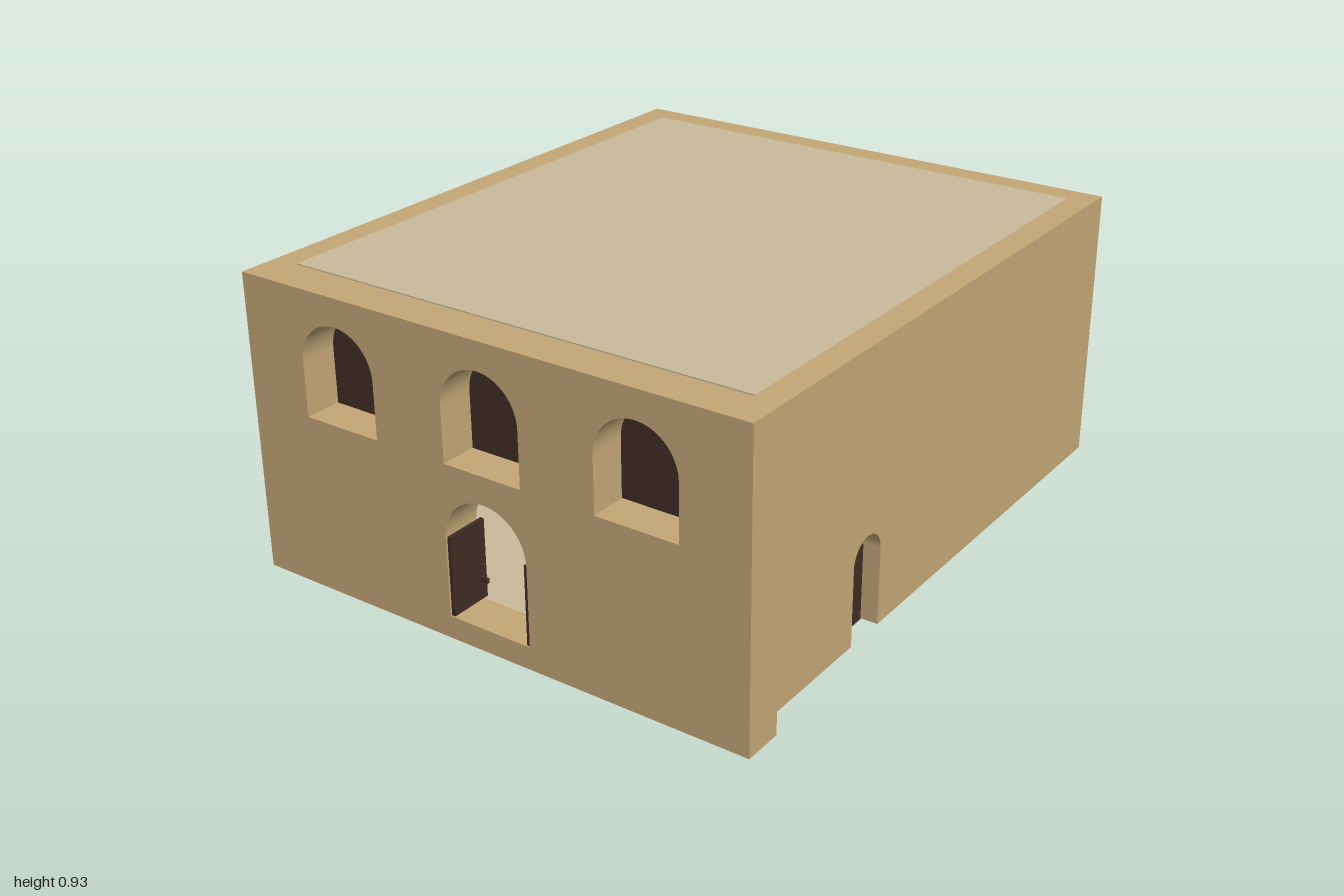
import * as THREE from 'three';

const mat = (name, color, side = THREE.FrontSide) => {
  const m = new THREE.MeshStandardMaterial({ color, side });
  m.name = name;
  return m;
};

export function createModel() {
  const sand = mat('sandstone', 0xc2a676);
  const plaster = mat('pale plaster', 0xcaba9c);
  const wood = mat('dark wood', 0x402c24);
  const glass = mat('blue glass', 0xa9c1cd);

  const model = new THREE.Group();
  model.name = 'hall';
  const add = (name, geometry, material) => {
    const mesh = new THREE.Mesh(geometry, material);
    mesh.name = name;
    model.add(mesh);
    return mesh;
  };
  // Box given by its minimum and maximum corners
  const box = (name, material, [x0, y0, z0], [x1, y1, z1]) =>
    add(name, new THREE.BoxGeometry(x1 - x0, y1 - y0, z1 - z0)
      .translate((x0 + x1) / 2, (y0 + y1) / 2, (z0 + z1) / 2), material);

  // Round-headed opening or plate: centre, half width, sill and crown heights
  const arch = (c, r, y0, y1, Type = THREE.Path) => {
    const p = new Type();
    p.moveTo(c - r, y0);
    p.lineTo(c + r, y0);
    p.lineTo(c + r, y1 - r);
    p.absarc(c, y1 - r, r, 0, Math.PI, false);
    p.lineTo(c - r, y0);
    return p;
  };
  const extrude = (shape, depth) =>
    new THREE.ExtrudeGeometry(shape, { depth, bevelEnabled: false, curveSegments: 20 });

  const W = 0.84, IN = 0.76, TOP = 0.925, BASE = 0.07, FRONT = 0.875, BACK = -0.94;
  const rect = (a, y0, b, y1) => new THREE.Shape([
    new THREE.Vector2(a, y0), new THREE.Vector2(b, y0),
    new THREE.Vector2(b, y1), new THREE.Vector2(a, y1)]);

  // Front wall, with a foot reaching the ground
  const front = rect(-W, 0, W, TOP);
  front.holes.push(arch(0, 0.14, BASE, 0.455));
  for (const x of [-0.5, 0, 0.5]) {
    front.holes.push(arch(x, 0.13, 0.54, 0.84));
    add('frontShutter', extrude(arch(x, 0.13, 0.54, 0.84, THREE.Shape), 0.008)
      .translate(0, 0, FRONT + 0.002), wood);
  }
  add('frontWall', extrude(front, 1 - FRONT).translate(0, 0, FRONT), sand);

  // Back wall with barred openings and panes standing off the wall
  const back = rect(-W, BASE, W, TOP);
  for (const x of [-0.485, 0, 0.485]) {
    back.holes.push(arch(x, 0.13, 0.54, 0.875));
    const px = x * 0.98;
    box('backPane', glass, [px - 0.12, 0.54, -1], [px + 0.12, 0.875, -0.992]);
    for (let i = -3; i <= 3; i++) {
      const bx = x + i * 0.035;
      const top = 0.745 + Math.sqrt(0.13 ** 2 - (bx - x) ** 2);
      box('windowBar', wood, [bx - 0.006, 0.54, -0.872], [bx + 0.006, top, -0.862]);
    }
    box('windowRail', wood, [x - 0.13, 0.54, -0.87], [x + 0.13, 0.555, -0.862]);
  }
  add('backWall', extrude(back, 0.08).translate(0, 0, BACK), sand);

  // Side walls are drawn in z and y, then turned to run along the building
  const side = (name, shape, x) =>
    add(name, extrude(shape, W - IN).rotateY(-Math.PI / 2).translate(x, 0, 0), sand);

  // Left wall with the side doorway
  const left = new THREE.Shape();
  left.moveTo(-0.86, BASE);
  left.lineTo(0.37, BASE);
  left.lineTo(0.37, 0.305);
  left.absarc(0.44, 0.305, 0.07, Math.PI, 0, true);
  left.lineTo(0.51, BASE);
  left.lineTo(FRONT, BASE);
  left.lineTo(FRONT, TOP);
  left.lineTo(-0.86, TOP);
  side('leftWall', left, W);
  box('sideDoor', wood, [0.78, BASE, 0.375], [0.79, 0.305, 0.51]);

  // Right wall with three narrow windows
  const right = rect(-0.86, BASE, FRONT, TOP);
  for (const z of [-0.37, 0.065, 0.5]) {
    right.holes.push(arch(z, 0.073, 0.22, 0.64));
    box('sidePane', glass, [-0.79, 0.22, z - 0.07], [-0.782, 0.567, z + 0.07]);
  }
  side('rightWall', right, -IN);

  // Floor and roof slabs
  box('floor', plaster, [-IN, 0.035, -0.85], [IN, BASE, FRONT]);
  box('roof', plaster, [-IN, 0.89, -0.86], [IN, TOP + 0.001, 0.87]);

  // Front door leaves, standing open, with handles
  for (const s of [-1, 1]) {
    const leaf = box('doorLeaf', wood, [-0.006, BASE, 0.86], [0.006, 0.315, 0.995]);
    leaf.position.x = s * 0.133;
  }
  box('doorHandle', wood, [-0.128, 0.13, 0.88], [-0.1, 0.145, 0.89]);
  box('doorHandle', wood, [-0.128, 0.17, 0.88], [-0.112, 0.185, 0.89]);

  return model;
}
